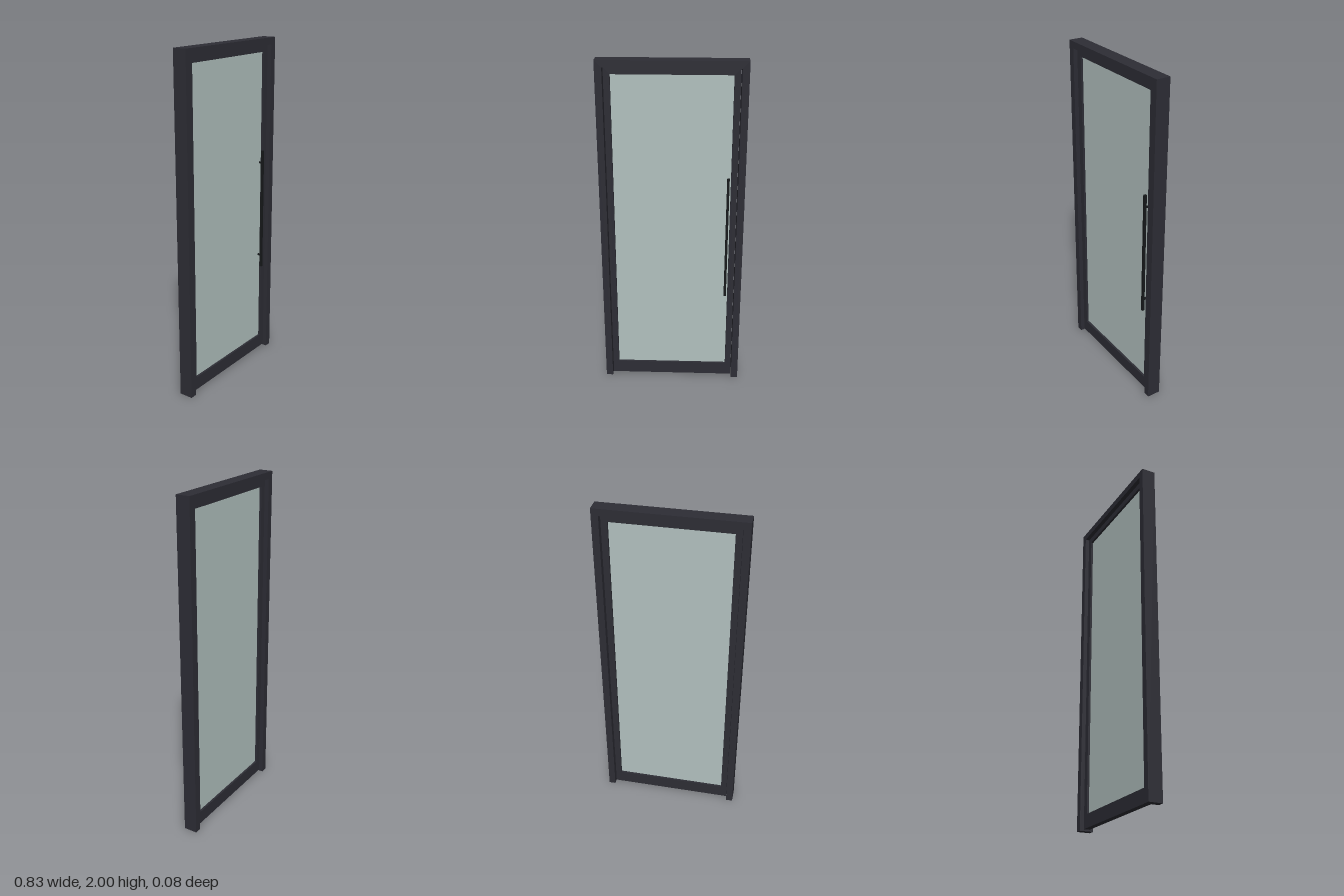
import * as THREE from 'three';

const frameMat = new THREE.MeshStandardMaterial({ name: 'charcoal metal', color: 0x2d2d35 });
const glassMat = new THREE.MeshStandardMaterial({ name: 'pale green glass', color: 0xb2c1bf });
const handleMat = new THREE.MeshStandardMaterial({ name: 'black metal', color: 0x17191b });

// Box given by its limits in x, y and z
function block(name, mat, [x0, x1], [y0, y1], [z0, z1]) {
  const mesh = new THREE.Mesh(new THREE.BoxGeometry(x1 - x0, y1 - y0, z1 - z0), mat);
  mesh.position.set((x0 + x1) / 2, (y0 + y1) / 2, (z0 + z1) / 2);
  mesh.name = name;
  return mesh;
}

// Flat extrusion of a shape, centred on z = 0
function slab(name, mat, shape, depth) {
  const geo = new THREE.ExtrudeGeometry(shape, { depth, bevelEnabled: false });
  geo.translate(0, 0, -depth / 2);
  const mesh = new THREE.Mesh(geo, mat);
  mesh.name = name;
  return mesh;
}

const points = (list) => list.map(([x, y]) => new THREE.Vector2(x, y));
const rect = (w, y0, y1) => points([[-w, y0], [w, y0], [w, y1], [-w, y1]]);

export function createModel() {
  const model = new THREE.Group();
  model.name = 'glassDoor';

  // Fixed surround: two jambs and a head, open at the floor
  const surround = new THREE.Shape(points([
    [-0.415, 0], [-0.375, 0], [-0.375, 1.96], [0.375, 1.96],
    [0.375, 0], [0.415, 0], [0.415, 2], [-0.415, 2],
  ]));
  model.add(slab('surround', frameMat, surround, 0.082));

  // Door leaf: thinner frame with a deep bottom rail, a hairline gap all round
  const leaf = new THREE.Group();
  leaf.name = 'doorLeaf';
  const leafShape = new THREE.Shape(rect(0.371, 0.01, 1.956));
  leafShape.holes.push(new THREE.Path(rect(0.335, 0.09, 1.92)));
  leaf.add(slab('leafFrame', frameMat, leafShape, 0.036));
  leaf.add(block('glassPane', glassMat, [-0.335, 0.335], [0.09, 1.92], [-0.005, 0.005]));

  // Long pull handle on two short posts, front side only
  const handle = new THREE.Group();
  handle.name = 'pullHandle';
  handle.add(block('handleBar', handleMat, [0.313, 0.327], [0.585, 1.335], [0.02, 0.034]));
  for (const y of [0.66, 1.26]) {
    handle.add(block('handlePost', handleMat, [0.315, 0.325], [y - 0.005, y + 0.005], [0.005, 0.02]));
  }
  leaf.add(handle);
  model.add(leaf);
  return model;
}
